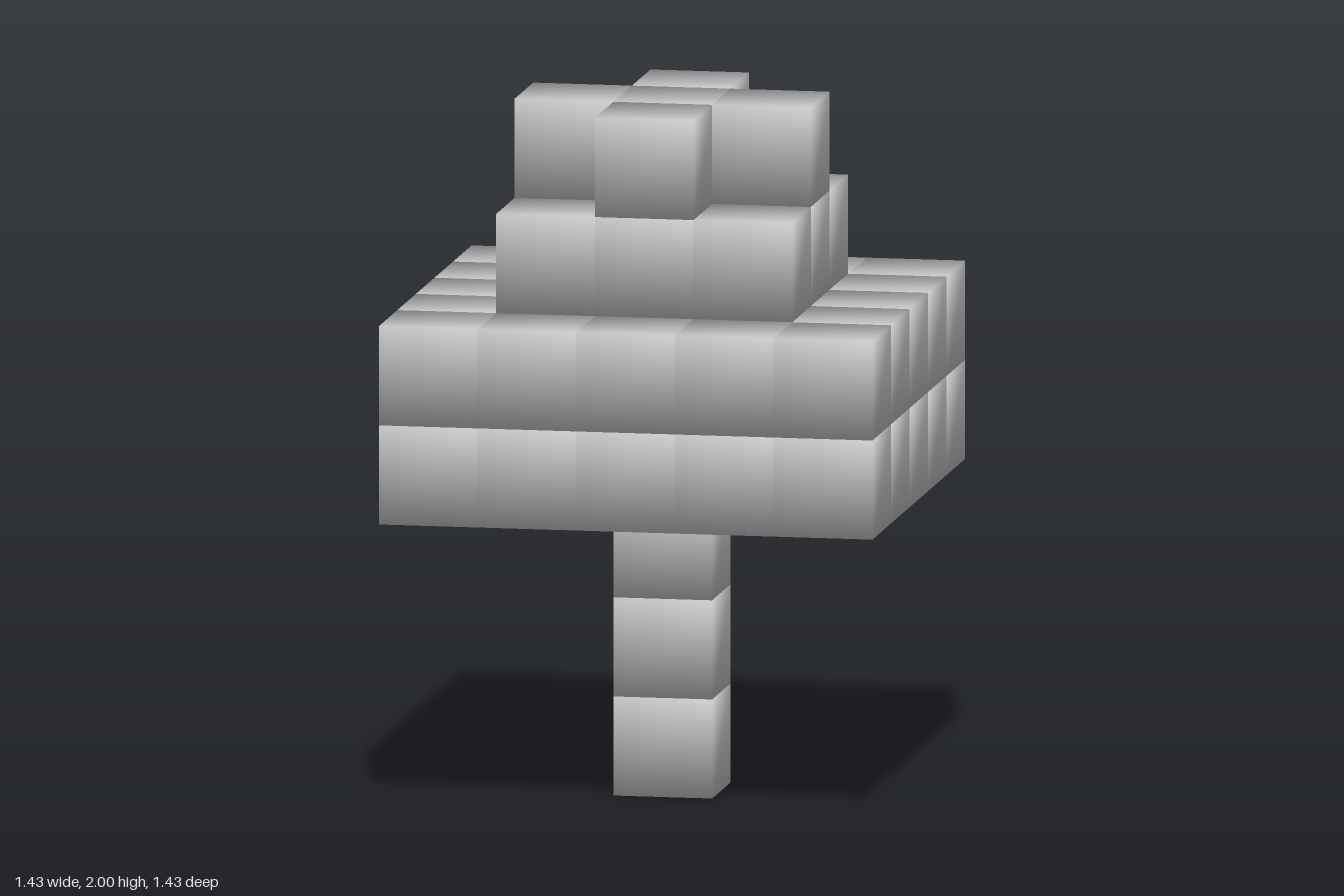
import * as THREE from 'three';

const SIZE = 2 / 7; // the tree is seven blocks tall

// A cube whose normals fan out from its centre, giving soft, pillowy shading
function softCube() {
  const geometry = new THREE.BoxGeometry(SIZE, SIZE, SIZE);
  const position = geometry.attributes.position;
  const normal = geometry.attributes.normal;
  const v = new THREE.Vector3();
  for (let i = 0; i < position.count; i++) {
    v.fromBufferAttribute(position, i).normalize();
    normal.setXYZ(i, v.x, v.y, v.z);
  }
  return geometry;
}

export function createModel() {
  const model = new THREE.Group();
  model.name = 'blockTree';
  const cube = softCube();
  const material = new THREE.MeshStandardMaterial({ color: 0xcccccc });

  // Stack of square layers; a cross layer leaves out its corners
  function addBlocks(name, rows, radius, cross = false) {
    const part = new THREE.Group();
    part.name = name;
    for (const row of rows) {
      for (let i = -radius; i <= radius; i++) {
        for (let k = -radius; k <= radius; k++) {
          if (cross && i !== 0 && k !== 0) continue;
          const block = new THREE.Mesh(cube, material);
          block.name = name + 'Block';
          block.position.set(i * SIZE, (row + 0.5) * SIZE, k * SIZE);
          part.add(block);
        }
      }
    }
    model.add(part);
  }

  addBlocks('trunk', [0, 1, 2], 0);
  addBlocks('lowerLeaves', [3, 4], 2);
  addBlocks('upperLeaves', [5], 1);
  addBlocks('crown', [6], 1, true);

  return model;
}
